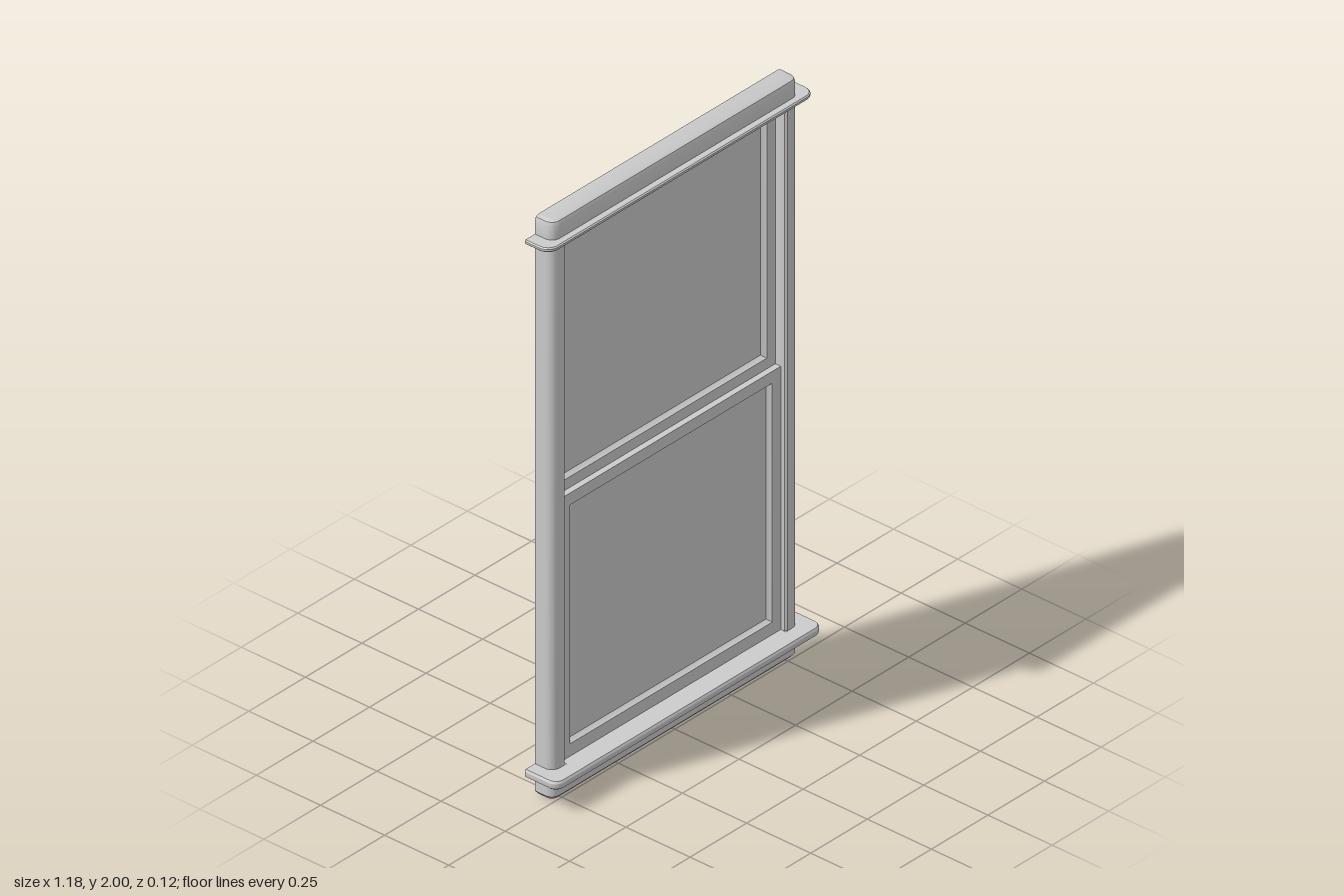
import * as THREE from 'three';
import { toCreasedNormals } from 'three/addons/utils/BufferGeometryUtils.js';

const BACK = -0.065;   // open back of the hollow shell
const FRONT = 0.005;   // face of the casing
const HALF = 0.545;    // half width of the casing
const OPEN = 0.485;    // half width of the opening
const LOW = 0.11, HIGH = 1.922;            // bottom and top of the opening
const LOWER_Z = -0.015, UPPER_Z = -0.036;  // faces of the two sashes

const material = new THREE.MeshStandardMaterial({ color: 0xcccccc, side: THREE.DoubleSide });

// Skin a list of equally long rows of [x, y, z] points
function skin(name, rows) {
  const n = rows[0].length, index = [];
  for (let i = 0; i < rows.length - 1; i++) {
    for (let j = 0; j < n - 1; j++) {
      const a = i * n + j, b = a + 1, c = b + n, d = a + n;
      index.push(a, b, c, a, c, d);
    }
  }
  const geometry = new THREE.BufferGeometry();
  geometry.setAttribute('position', new THREE.Float32BufferAttribute(rows.flat(2), 3));
  geometry.setIndex(index);
  const mesh = new THREE.Mesh(toCreasedNormals(geometry, 0.5), material);
  mesh.name = name;
  return mesh;
}

// Quarter-round from the side to the front at the -x corner
function corner(half, front, r) {
  const pts = [];
  for (let i = 0; i <= 6; i++) {
    const a = (i / 6) * Math.PI / 2;
    pts.push([-half + r - r * Math.cos(a), front - r + r * Math.sin(a)]);
  }
  return pts;
}

// U-shaped row: left side, rounded front, right side
function uRow([half, front, r, y]) {
  const left = [[-half, BACK], ...corner(half, front, r)];
  const right = left.map(([x, z]) => [-x, z]).reverse();
  return [...left, ...right].map(([x, z]) => [x, y, z]);
}

// Horizontal strip across the opening
function shelf(name, y, zFront, zBack) {
  return skin(name, [zFront, zBack].map(z => [[-OPEN, y, z], [OPEN, y, z]]));
}

// Closed rectangular row
function rectRow(x, y0, y1, z) {
  return [[-x, y0, z], [x, y0, z], [x, y1, z], [-x, y1, z], [-x, y0, z]];
}

// Sash frame with a stepped recess around the pane
function sash(name, y0, y1, paneLow, paneHigh, z) {
  const group = new THREE.Group();
  group.name = name;
  const deep = z - 0.016;
  group.add(skin('sashFrame', [
    rectRow(OPEN, y0, y1, z),
    rectRow(0.447, paneLow, paneHigh, z),
    rectRow(0.445, paneLow + 0.002, paneHigh - 0.002, z - 0.006),
    rectRow(0.438, paneLow + 0.009, paneHigh - 0.009, deep),
  ]));
  const pane = new THREE.Mesh(
    new THREE.PlaneGeometry(0.876, paneHigh - paneLow - 0.018), material);
  pane.position.set(0, (paneLow + paneHigh) / 2, deep);
  pane.name = 'pane';
  group.add(pane);
  return group;
}

export function createModel() {
  const model = new THREE.Group();
  model.name = 'window';

  // Apron below the sill, with bevelled bottom, and the projecting sill
  model.add(skin('apronAndSill', [
    [0.53, BACK, 0, 0],
    [0.53, -0.01, 0.02, 0],
    [HALF, FRONT, 0.03, 0.016],
    [HALF, FRONT, 0.03, 0.08],
    [0.582, 0.052, 0.025, 0.08],
    [0.588, 0.058, 0.03, 0.085],
    [0.59, 0.06, 0.032, 0.093],
    [0.59, 0.06, 0.032, 0.103],
    [0.586, 0.056, 0.029, LOW],
    [HALF, FRONT, 0.03, LOW],
  ].map(uRow)));

  // Thin ledge and the header above it, with bevelled top
  model.add(skin('ledgeAndHeader', [
    [HALF, FRONT, 0.03, HIGH],
    [0.586, 0.026, 0.036, HIGH],
    [0.59, 0.03, 0.04, 1.926],
    [0.59, 0.03, 0.04, 1.933],
    [0.586, 0.026, 0.036, 1.937],
    [HALF, FRONT, 0.03, 1.937],
    [HALF, FRONT, 0.03, 1.984],
    [0.541, 0.001, 0.028, 1.995],
    [0.53, -0.01, 0.02, 2],
    [0.53, BACK, 0, 2],
  ].map(uRow)));

  // Side casings: rounded outside, chamfered inside, returning into the opening
  const plan = [[-HALF, BACK], ...corner(HALF, FRONT, 0.03),
    [-0.493, FRONT], [-0.486, -0.002], [-OPEN, -0.008], [-OPEN, UPPER_Z]];
  const mirrored = plan.map(([x, z]) => [-x, z]).reverse();
  for (const [name, path] of [['rightCasing', plan], ['leftCasing', mirrored]]) {
    model.add(skin(name, [LOW, HIGH].map(y => path.map(([x, z]) => [x, y, z]))));
  }

  // Top and bottom of the opening, and the step where the sashes meet
  model.add(shelf('stool', LOW, FRONT, LOWER_Z));
  model.add(shelf('soffit', HIGH, UPPER_Z, FRONT));
  model.add(shelf('meetingStep', 1.018, LOWER_Z, UPPER_Z));

  // Sashes: the lower one sits in front of the upper one
  model.add(sash('upperSash', 1.018, HIGH, 1.055, 1.882, UPPER_Z));
  model.add(sash('lowerSash', LOW, 1.018, 0.153, 0.977, LOWER_Z));

  return model;
}
